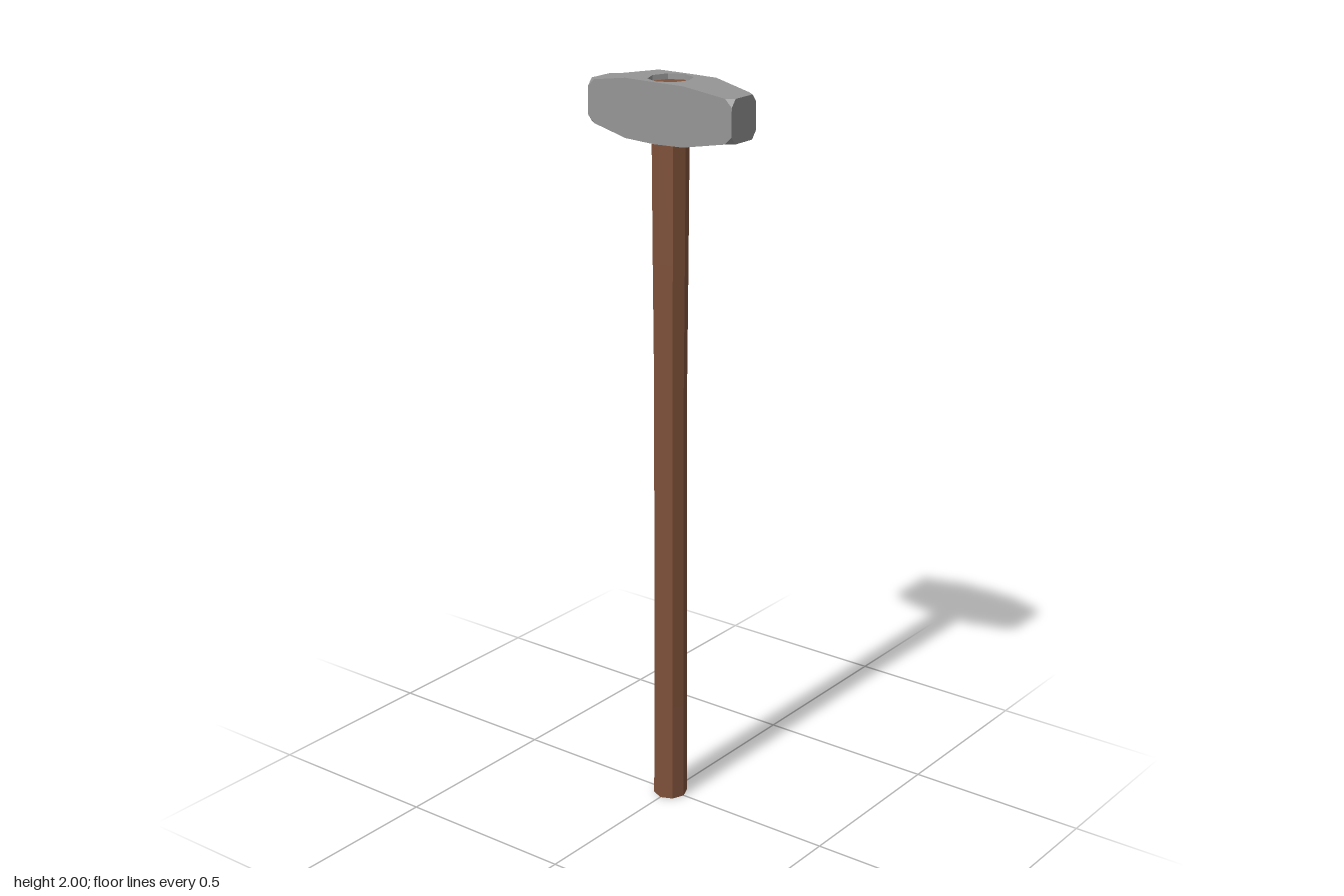
import * as THREE from 'three';

const steel = new THREE.MeshStandardMaterial({ color: 0x969696, flatShading: true });
steel.name = 'steel';
const wood = new THREE.MeshStandardMaterial({ color: 0x80523a, flatShading: true });
wood.name = 'wood';

const TOP = 2;
const EYE_X = 0.06, EYE_Z = 0.057;

function add(group, name, geometry, material) {
  const mesh = new THREE.Mesh(geometry, material);
  mesh.name = name;
  group.add(mesh);
  return mesh;
}

// Rectangle with cut corners, counter-clockwise seen from +z
function ring(z, w, bottom, top, cx = 0, cy = 0) {
  return [
    [w, bottom + cy], [w, top - cy], [w - cx, top], [cx - w, top],
    [-w, top - cy], [-w, bottom + cy], [cx - w, bottom], [w - cx, bottom],
  ].map(([x, y]) => [x, y, z]);
}

// Lofted head body, open on top around the eye
function headBody() {
  const half = [
    [0.09, 0.069, 1.848, TOP],
    [0.205, 0.051, 1.868, 1.98],
    [0.225, 0.051, 1.868, 1.98, 0.016, 0.02],
  ];
  const rings = [
    ...half.map(([z, ...r]) => ring(-z, ...r)).reverse(),
    ring(0, 0.071, 1.845, TOP),
    ...half.map((r) => ring(...r)),
  ];
  const pos = [];
  const tri = (...pts) => pts.forEach((p) => pos.push(...p));
  for (let k = 0; k < rings.length - 1; k++) {
    const a = rings[k], b = rings[k + 1];
    for (let i = 0; i < 8; i++) {
      const j = (i + 1) % 8;
      if (i === 2 && (k === 2 || k === 3)) continue; // eye plate goes here
      tri(a[i], a[j], b[j]);
      tri(a[i], b[j], b[i]);
    }
  }
  // striking faces
  const back = rings[0], front = rings[rings.length - 1];
  for (let i = 1; i < 7; i++) {
    tri(front[0], front[i], front[i + 1]);
    tri(back[0], back[i + 1], back[i]);
  }
  const g = new THREE.BufferGeometry();
  g.setAttribute('position', new THREE.Float32BufferAttribute(pos, 3));
  g.computeVertexNormals();
  return g;
}

// Flat top plate with the eight-sided eye cut out
function eyePlate() {
  const pts = [[0.069, -0.09], [0.071, 0], [0.069, 0.09], [-0.069, 0.09], [-0.071, 0], [-0.069, -0.09]];
  const shape = new THREE.Shape(pts.map(([x, y]) => new THREE.Vector2(x, y)));
  const hole = [];
  for (let i = 0; i < 8; i++) {
    const t = (-i * Math.PI) / 4;
    hole.push(new THREE.Vector2(EYE_X * Math.cos(t), EYE_Z * Math.sin(t)));
  }
  shape.holes.push(new THREE.Path(hole));
  return new THREE.ShapeGeometry(shape).rotateX(-Math.PI / 2).translate(0, TOP, 0);
}

// Inward-facing wall of the eye
function eyeWall() {
  const g = new THREE.CylinderGeometry(1, 0.97, 0.03, 8, 1, true);
  g.scale(EYE_X, 1, EYE_Z).translate(0, TOP - 0.015, 0);
  const idx = g.index.array;
  for (let i = 0; i < idx.length; i += 3) [idx[i], idx[i + 1]] = [idx[i + 1], idx[i]];
  g.computeVertexNormals();
  return g;
}

export function createModel() {
  const model = new THREE.Group();
  model.name = 'sledgehammer';

  const head = new THREE.Group();
  head.name = 'head';
  add(head, 'headBody', headBody(), steel);
  add(head, 'eyePlate', eyePlate(), steel);
  add(head, 'eyeWall', eyeWall(), steel);
  model.add(head);

  // Eight-sided handle, slightly waisted, flaring inside the eye
  const profile = [
    [0, 0], [0.047, 0], [0.046, 0.28], [0.044, 1.17], [0.047, 1.53], [0.049, 1.86], [0.058, 1.986], [0, 1.986],
  ].map(([r, y]) => new THREE.Vector2(r, y));
  const handle = add(model, 'handle', new THREE.LatheGeometry(profile, 8), wood);
  handle.scale.z = 0.97;

  return model;
}
